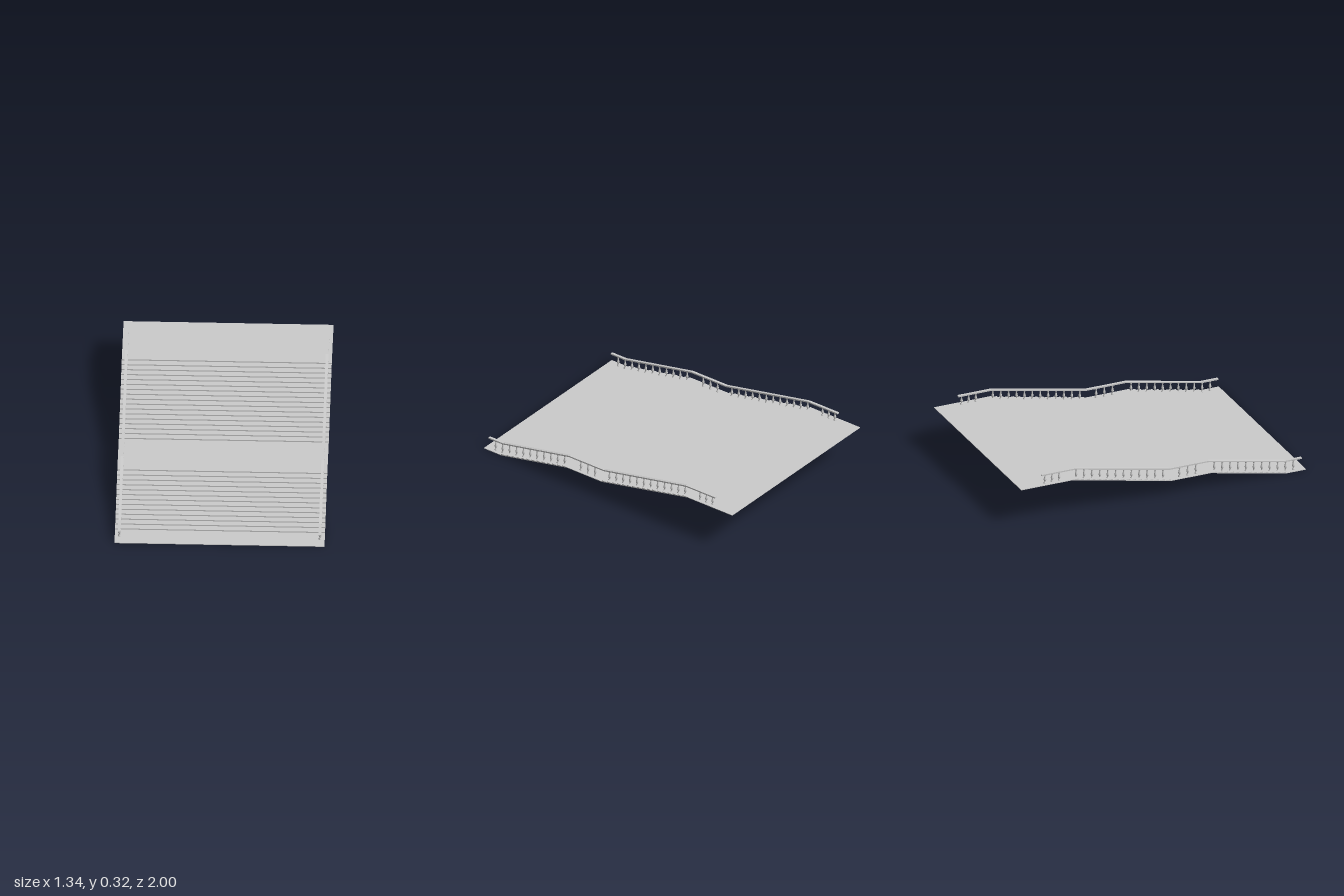
import * as THREE from 'three';

const mat = new THREE.MeshStandardMaterial({ color: 0xcccccc, side: THREE.DoubleSide });

// Extrude a [z, y] outline along x, centred on x
function extrudeAcross(outline, width, x = 0) {
  const shape = new THREE.Shape(outline.map(([z, y]) => new THREE.Vector2(z, y)));
  const geo = new THREE.ExtrudeGeometry(shape, { depth: width, bevelEnabled: false });
  geo.translate(0, 0, -width / 2);
  geo.rotateY(-Math.PI / 2);
  geo.translate(x, 0, 0);
  return geo;
}

// Height of a [z, y] polyline (z descending) at a given z
function heightAt(line, z) {
  for (let i = 0; i < line.length - 1; i++) {
    const [z0, y0] = line[i], [z1, y1] = line[i + 1];
    if (z <= z0 && z >= z1) return y0 + (y1 - y0) * (z0 - z) / (z0 - z1);
  }
  return line[line.length - 1][1];
}

const FLOOR = [[1, 0.004], [0.86, 0.004], [0.33, 0.112], [0.05, 0.112], [-0.64, 0.255], [-1, 0.255]];
const RAIL = [[0.98, 0.08], [0.865, 0.08], [0.33, 0.187], [0.05, 0.187], [-0.61, 0.32], [-0.845, 0.32]];

function addSteps(points, from, to, count) {
  const run = (to[0] - from[0]) / count, rise = (to[1] - from[1]) / count;
  for (let i = 0; i < count; i++) {
    const z = from[0] + run * i, y = from[1] + rise * (i + 1);
    points.push([z, y], [z + run, y]);
  }
}

function row(first, count, pitch = 0.0555) {
  return Array.from({ length: count }, (_, i) => first - i * pitch);
}

export function createModel() {
  const group = new THREE.Group();

  // Two flights with three landings, on a thin sloping underside
  const outline = [FLOOR[0], FLOOR[1]];
  addSteps(outline, FLOOR[1], FLOOR[2], 13);
  outline.push(FLOOR[3]);
  addSteps(outline, FLOOR[3], FLOOR[4], 17);
  outline.push(FLOOR[5]);
  const under = FLOOR.map(([z, y]) => [z, y - 0.004]).reverse();
  const stairs = new THREE.Mesh(extrudeAcross([...outline, ...under], 1.342), mat);
  stairs.name = 'stairs';
  group.add(stairs);

  // Turned baluster profile: radius and share of the height
  const profile = [[0.009, 0], [0.009, 0.08], [0.005, 0.13], [0.004, 0.22], [0.008, 0.36],
    [0.009, 0.44], [0.006, 0.6], [0.0035, 0.8], [0.006, 0.88], [0.007, 1]]
    .map(([r, h]) => new THREE.Vector2(r, h));
  const balusterGeo = new THREE.LatheGeometry(profile, 10);
  const places = [...row(0.925, 11), ...row(0.24, 3, 0.0575), ...row(0.01, 12), ...row(-0.72, 3, 0.05)];

  for (const side of [-1, 1]) {
    const balustrade = new THREE.Group();
    balustrade.name = side > 0 ? 'leftBalustrade' : 'rightBalustrade';
    const x = side * 0.641;

    // Handrail following the flights
    const railUnder = RAIL.map(([z, y]) => [z, y - 0.009]).reverse();
    const rail = new THREE.Mesh(extrudeAcross([...RAIL, ...railUnder], 0.018, x), mat);
    rail.name = 'handrail';
    balustrade.add(rail);

    // Balusters from the floor up into the rail
    for (const z of places) {
      const base = heightAt(FLOOR, z);
      const baluster = new THREE.Mesh(balusterGeo, mat);
      baluster.name = 'baluster';
      baluster.position.set(x, base, z);
      baluster.scale.y = heightAt(RAIL, z) - 0.007 - base;
      balustrade.add(baluster);
    }
    group.add(balustrade);
  }
  return group;
}
